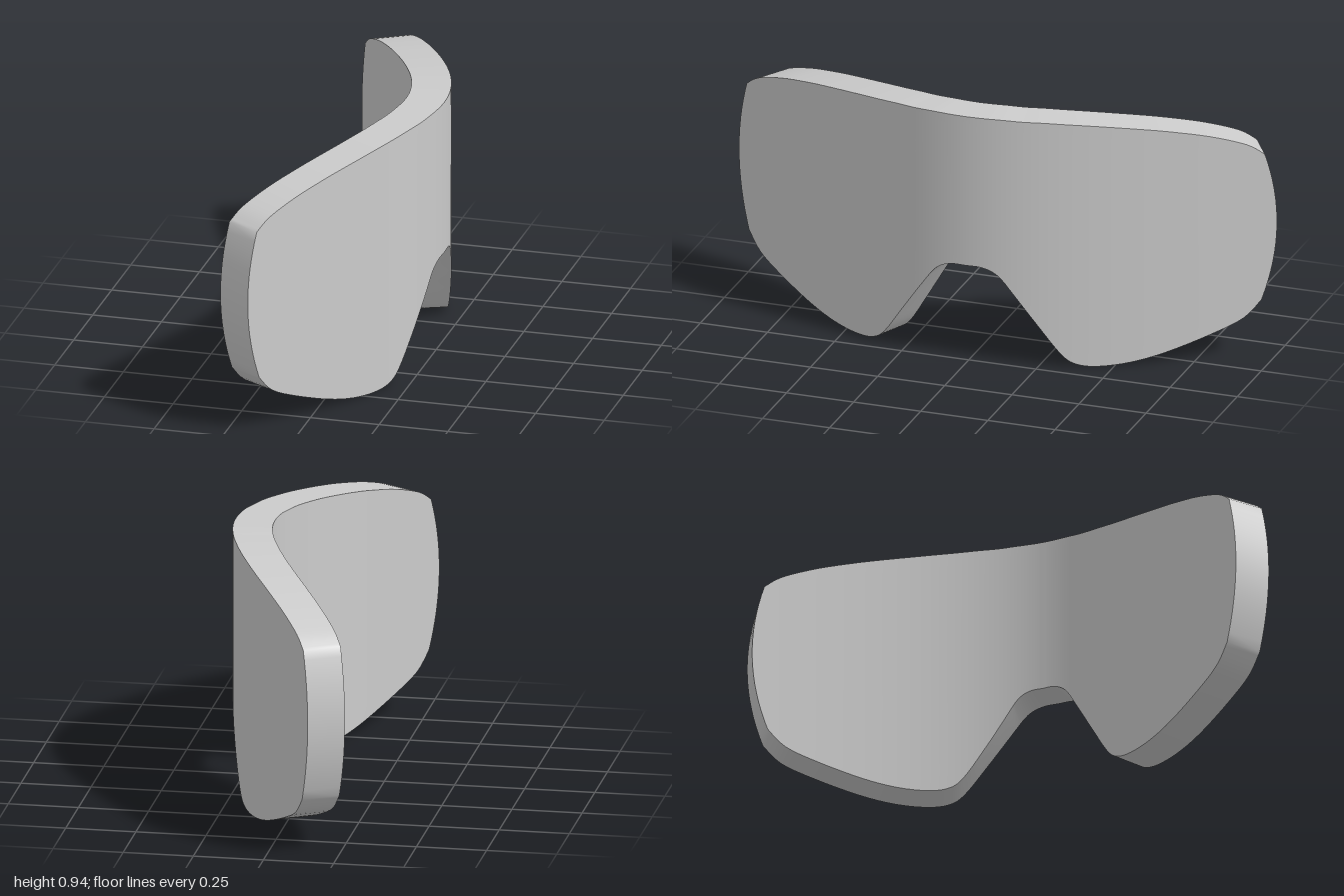
import * as THREE from 'three';
import { mergeVertices, toCreasedNormals } from 'three/addons/utils/BufferGeometryUtils.js';

const THICKNESS = 0.14;
const COLUMNS = 96; // along the wrap, side to side
const ROWS = 16;    // from brow edge to lower edge

// Half outlines of the shield, centre to side, as (z, y)
const curve = (pts) => new THREE.SplineCurve(pts.map(([z, y]) => new THREE.Vector2(z, y)));
const browEdge = curve([
  [0, 0.935], [0.06, 0.935], [0.13, 0.934], [0.2, 0.93], [0.27, 0.927], [0.34, 0.921], [0.42, 0.913],
  [0.5, 0.903], [0.59, 0.89], [0.68, 0.874], [0.8, 0.846], [0.91, 0.806], [0.965, 0.765],
]);
const lowerEdge = curve([
  [0, 0.37], [0.06, 0.368], [0.115, 0.342], [0.17, 0.273], [0.25, 0.16], [0.33, 0.047], [0.38, 0.01],
  [0.45, 0], [0.55, 0.01], [0.66, 0.04], [0.8, 0.097], [0.9, 0.15], [0.955, 0.215],
]);
const SIDE_BULGE = 0.042;

// Wrap of the outer face: round in the middle, nearly straight towards the sides
const wrapX = (z) => 0.28 + 0.28 - Math.hypot(0.28, 0.66 * z);
const wrapSlope = (z) => (-0.4356 * z) / Math.hypot(0.28, 0.66 * z);

// Point on the shield: u -1..1 across, v 0..1 down, depth measured inwards
function shieldPoint(u, v, depth) {
  const t = Math.abs(u);
  const p = browEdge.getPoint(t).lerp(lowerEdge.getPoint(t), v);
  const z = Math.sign(u) * (p.x + SIDE_BULGE * t ** 4 * 4 * v * (1 - v));
  const slope = wrapSlope(z);
  const n = Math.hypot(1, slope);
  return [wrapX(z) - depth / n, p.y, z + (depth * slope) / n];
}

function shieldGeometry() {
  const positions = [];
  const index = [];
  const ring = 2 * (ROWS + 1);
  const quad = (a, b, c, d) => index.push(a, b, c, a, c, d);

  // Closed section per column: down the outer face, back up the inner face
  for (let i = 0; i <= COLUMNS; i++) {
    const u = (2 * i) / COLUMNS - 1;
    for (let j = 0; j <= ROWS; j++) positions.push(...shieldPoint(u, j / ROWS, 0));
    for (let j = ROWS; j >= 0; j--) positions.push(...shieldPoint(u, j / ROWS, THICKNESS));
  }
  for (let i = 0; i < COLUMNS; i++) {
    for (let j = 0; j < ring; j++) {
      const k = (j + 1) % ring;
      quad(i * ring + j, (i + 1) * ring + j, (i + 1) * ring + k, i * ring + k);
    }
  }

  // Side rims closing both ends
  const last = COLUMNS * ring;
  for (let j = 0; j < ROWS; j++) {
    const outer = [j, j + 1];
    const inner = [ring - 1 - j, ring - 2 - j];
    quad(outer[0], outer[1], inner[1], inner[0]);
    quad(last + inner[0], last + inner[1], last + outer[1], last + outer[0]);
  }

  const geometry = new THREE.BufferGeometry();
  geometry.setAttribute('position', new THREE.Float32BufferAttribute(positions, 3));
  geometry.setIndex(index);
  return toCreasedNormals(mergeVertices(geometry), 0.8);
}

export function createModel() {
  const group = new THREE.Group();
  group.name = 'visor';
  const shield = new THREE.Mesh(shieldGeometry(), new THREE.MeshStandardMaterial({ color: 0xcccccc }));
  shield.name = 'wraparoundShield';
  group.add(shield);
  return group;
}
